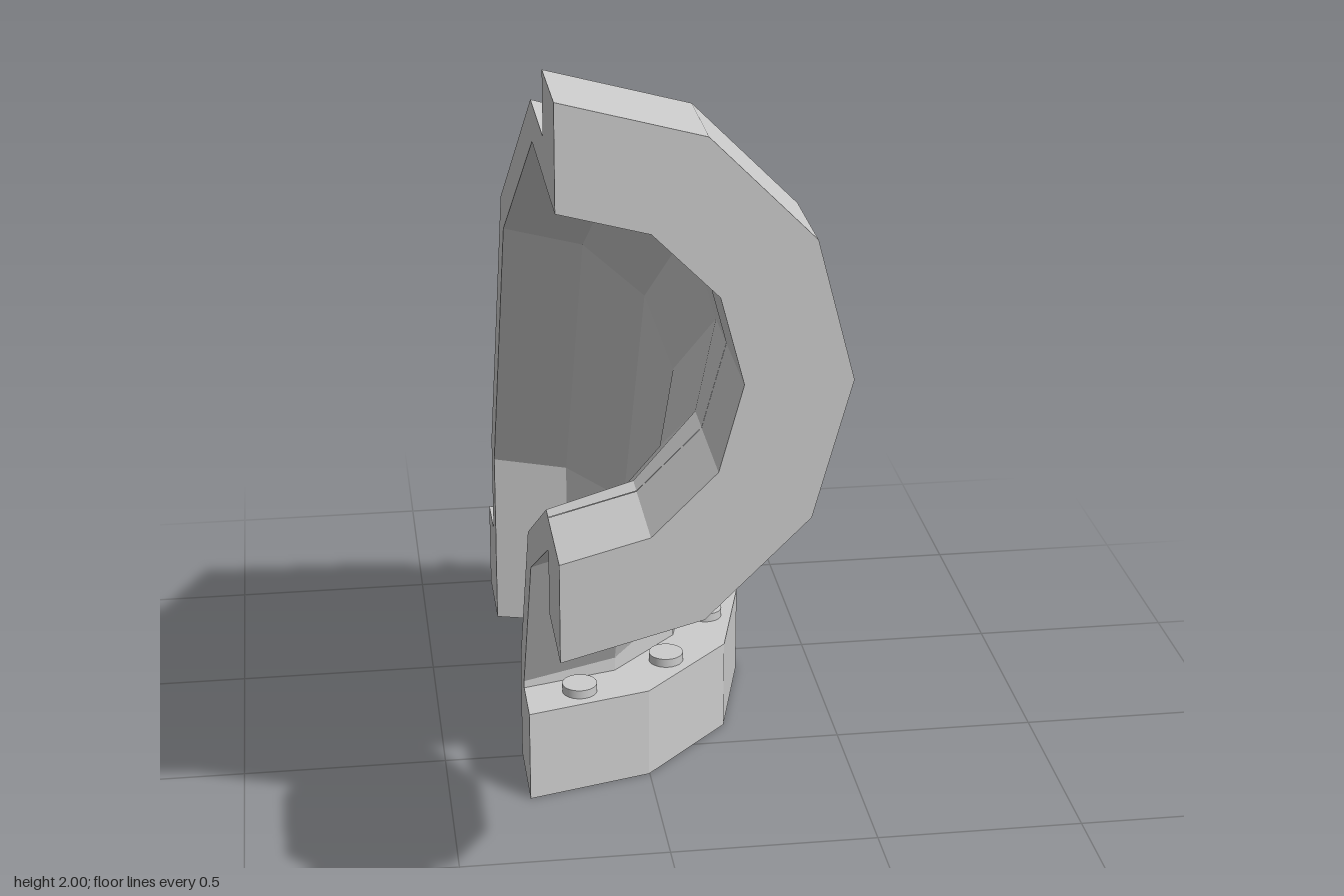
import * as THREE from 'three';

const CUT_X = -0.305; // plane where the pipe is sliced in half
const SIDES = 6; // facets in the half circle
const R_IN = 0.38, R_PIPE = 0.465, R_FLANGE = 0.606;
const DEPTH = 0.233;

const flat = new THREE.MeshStandardMaterial({ color: 0xcccccc, flatShading: true });
const smooth = new THREE.MeshStandardMaterial({ color: 0xcccccc });

// Half-ring outline: [x, y] points down the outside, back up the inside
function halfRing(rOut, rIn) {
  const outer = [], inner = [];
  for (let i = 0; i <= SIDES; i++) {
    const a = (i / SIDES) * Math.PI;
    outer.push([Math.sin(a) * rOut, Math.cos(a) * rOut]);
    inner.unshift([Math.sin(a) * rIn, Math.cos(a) * rIn]);
  }
  return [...outer, ...inner];
}

// Half flange with a row of bolt heads on its +z face
function makeFlange(name) {
  const group = new THREE.Group();
  group.name = name;

  const shape = new THREE.Shape(halfRing(R_FLANGE, R_IN).map(([x, y]) => new THREE.Vector2(x, y)));
  const plate = new THREE.Mesh(
    new THREE.ExtrudeGeometry(shape, { depth: DEPTH, bevelEnabled: false }), flat);
  plate.name = 'flangePlate';
  group.add(plate);

  const boltGeometry = new THREE.CylinderGeometry(0.043, 0.043, 0.04, 24).rotateX(Math.PI / 2);
  for (let i = 0; i < 6; i++) {
    const a = ((i + 0.5) / 6) * Math.PI;
    const bolt = new THREE.Mesh(boltGeometry, smooth);
    bolt.name = 'bolt';
    bolt.position.set(Math.sin(a) * 0.518, Math.cos(a) * 0.518, DEPTH + 0.002);
    group.add(bolt);
  }
  return group;
}

// Half pipe wall swept through mitred cross-sections
function makeElbow() {
  // centre y, centre z, tilt of the section in degrees
  const sections = [
    [1.395, 1 - DEPTH, 0],
    [1.395, 0.625, 15],
    [1.022, -0.018, 45],
    [0.376, -0.39, 75],
    [DEPTH, -0.39, 90],
  ];
  const loop = halfRing(R_PIPE, R_IN);
  const n = loop.length;
  const positions = [], index = [];

  sections.forEach(([cy, cz, degrees], j) => {
    const tilt = THREE.MathUtils.degToRad(degrees);
    const isEnd = j === 0 || j === sections.length - 1;
    const stretch = isEnd ? 1 : 1 / Math.cos(Math.PI / 12); // mitre widening
    for (const [x, v] of loop) {
      positions.push(
        CUT_X + x,
        cy + v * stretch * Math.cos(tilt),
        cz - v * stretch * Math.sin(tilt));
    }
    if (j === 0) return;
    for (let i = 0; i < n; i++) {
      const k = (i + 1) % n;
      const a = (j - 1) * n + i, b = (j - 1) * n + k;
      const c = j * n + k, d = j * n + i;
      index.push(a, b, c, a, c, d);
    }
  });

  const geometry = new THREE.BufferGeometry();
  geometry.setAttribute('position', new THREE.Float32BufferAttribute(positions, 3));
  geometry.setIndex(index);
  geometry.computeVertexNormals();
  const mesh = new THREE.Mesh(geometry, flat);
  mesh.name = 'elbowPipe';
  return mesh;
}

export function createModel() {
  const model = new THREE.Group();
  model.name = 'halfPipeElbow';

  const base = makeFlange('baseFlange');
  base.rotation.x = -Math.PI / 2;
  base.position.set(CUT_X, 0, -0.394);

  // Turned so its bolts face back along the pipe
  const front = makeFlange('frontFlange');
  front.rotation.x = Math.PI;
  front.position.set(CUT_X, 1.394, 1);

  model.add(base, front, makeElbow());
  return model;
}
